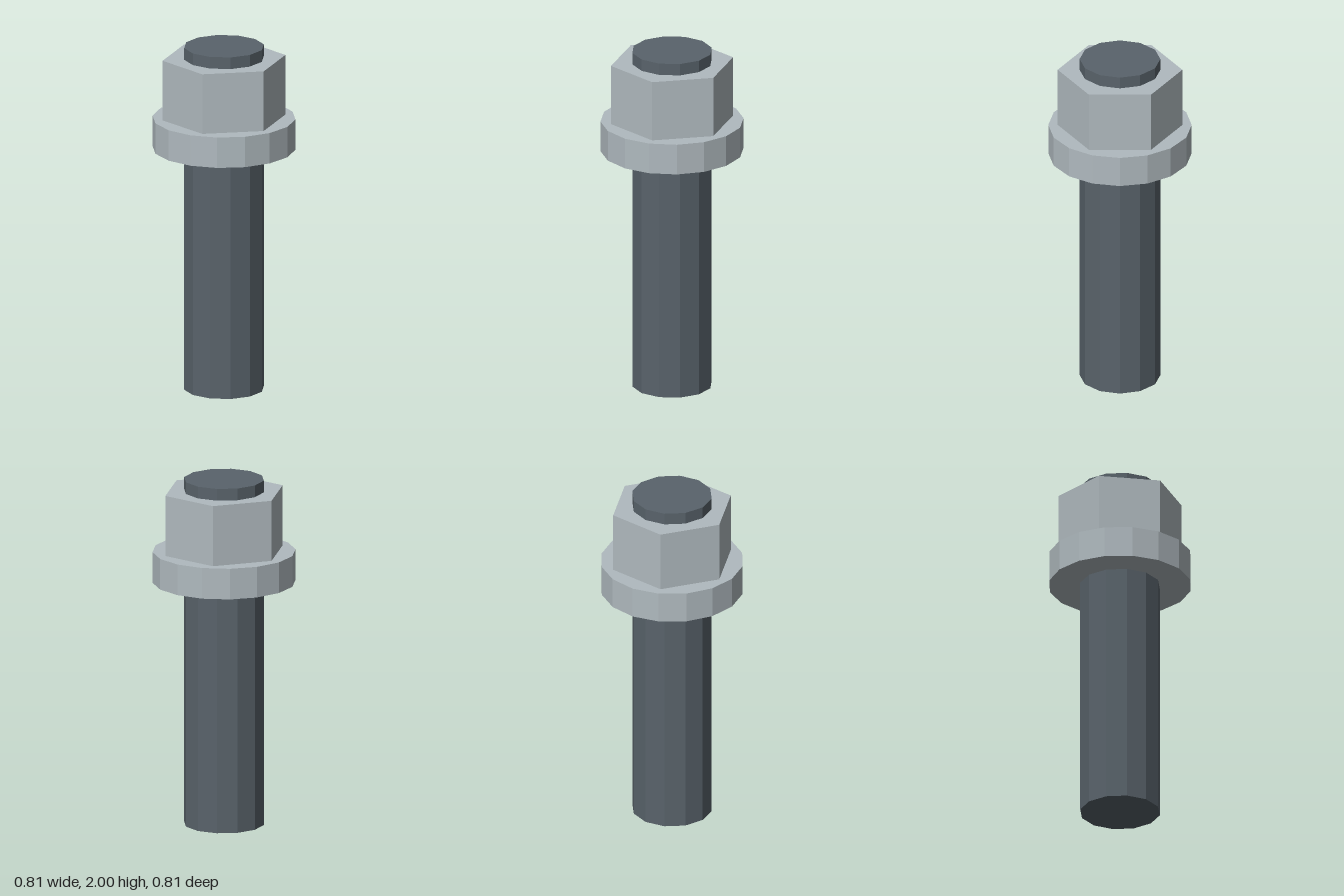
import * as THREE from 'three';

export function createModel() {
  const model = new THREE.Group();
  model.name = 'boltWithNut';

  const darkSteel = new THREE.MeshStandardMaterial({ color: 0x59636b, flatShading: true });
  const paleSteel = new THREE.MeshStandardMaterial({ color: 0xb0babf, flatShading: true });

  // Upright prism between two heights, with one corner on the +z axis
  function addPrism(name, radius, sides, bottom, top, material) {
    const geometry = new THREE.CylinderGeometry(radius, radius, top - bottom, sides);
    const mesh = new THREE.Mesh(geometry, material);
    mesh.name = name;
    mesh.position.y = (bottom + top) / 2;
    model.add(mesh);
  }

  addPrism('shaft', 0.227, 12, 0, 2, darkSteel);
  addPrism('washer', 0.403, 16, 1.405, 1.583, paleSteel);
  addPrism('hexNut', 0.35, 6, 1.583, 1.932, paleSteel);

  return model;
}
